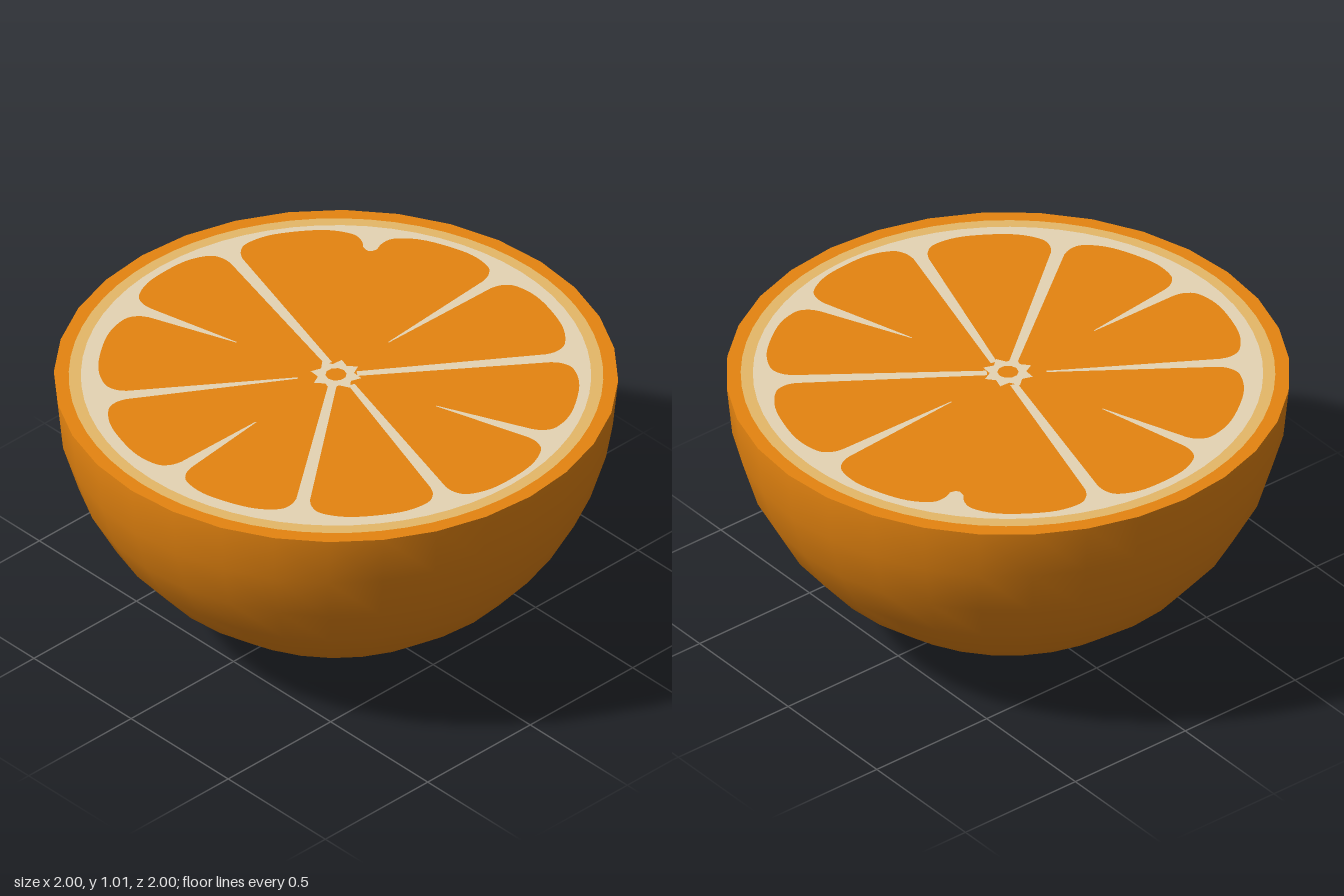
import * as THREE from 'three';

const orange = new THREE.MeshStandardMaterial({ color: 0xe58410 });
orange.name = 'orange';
const tan = new THREE.MeshStandardMaterial({ color: 0xe6b868 });
tan.name = 'tan';
const cream = new THREE.MeshStandardMaterial({ color: 0xe6d4b4 });
cream.name = 'cream';

// Membranes around the cut face: mouth angle (degrees from +x towards +z),
// tip x, tip z, tip half width, and radius of the lobe that follows.
const MEMBRANES = [
  [-107, -0.12, -0.385, 0.002, 0.87],
  [-73.7, 0.03, -0.07, 0.014, 0.875],
  [-37.5, 0.6, -0.46, 0.008, 0.87],
  [-2, 0.27, -0.015, 0.002, 0.855],
  [35.8, 0.06, 0.045, 0.014, 0.865],
  [70.4, 0.13, 0.38, 0.002, 0.88],
  [105.3, 0.0, 0.08, 0.012, 0.857],
  [142.3, -0.05, 0.035, 0.015, 0.855],
  [178, -0.4, 0.01, 0.002, 0.855],
  [214.3, -0.11, -0.08, 0.004, 0.845],
];
const MOUTH_RADIUS = 0.77;
const MOUTH_HALF = 0.025;

// Shape point for an angle and radius; shape y is model -z
const polar = (a, r) => new THREE.Vector2(Math.cos(a) * r, -Math.sin(a) * r);

function addFlat(group, name, geometry, material, y) {
  geometry.rotateX(-Math.PI / 2);
  geometry.translate(0, y, 0);
  const mesh = new THREE.Mesh(geometry, material);
  mesh.name = name;
  group.add(mesh);
}

// Outline of all juice segments: rounded lobes parted by narrow membranes
function pulpShape() {
  const points = [];
  const profile = [[0, 0.885], [0.025, 0.93], [0.1, 0.972], [0.28, 0.997], [0.5, 1],
    [0.72, 0.997], [0.9, 0.972], [0.975, 0.93], [1, 0.885]];
  MEMBRANES.forEach(([degrees, tx, tz, half, radius], i) => {
    const a = THREE.MathUtils.degToRad(degrees);
    const next = MEMBRANES[(i + 1) % MEMBRANES.length][0] + (i === MEMBRANES.length - 1 ? 360 : 0);
    const b = THREE.MathUtils.degToRad(next);

    // Membrane tip, crossed from one side to the other
    const sx = -Math.sin(a) * half, sz = Math.cos(a) * half;
    points.push(new THREE.Vector2(tx - sx, -(tz - sz)), new THREE.Vector2(tx + sx, -(tz + sz)));

    // Rounded lobe up to the next membrane
    const pad = MOUTH_HALF / MOUTH_RADIUS;
    const lobe = profile.map(([u, k]) => polar(a + pad + (b - a - 2 * pad) * u, radius * k));
    points.push(...new THREE.SplineCurve(lobe).getPoints(32));
  });
  return new THREE.Shape(points);
}

// Small star of pith in the middle
function coreShape() {
  const points = [];
  for (let i = 0; i < 16; i++) {
    points.push(polar((i / 16) * Math.PI * 2 + 0.2, i % 2 ? 0.065 : 0.092));
  }
  return new THREE.Shape(points);
}

export function createModel() {
  const group = new THREE.Group();
  group.name = 'halfOrange';

  // Rounded peel
  const bowl = new THREE.SphereGeometry(1, 32, 8, 0, Math.PI * 2, Math.PI / 2, Math.PI / 2);
  bowl.translate(0, 1, 0);
  const peel = new THREE.Mesh(bowl, orange);
  peel.name = 'peel';
  group.add(peel);

  // Cut face, layered from the rim inwards
  addFlat(group, 'peelRim', new THREE.CircleGeometry(1, 32), orange, 1);
  addFlat(group, 'innerPeel', new THREE.CircleGeometry(0.947, 64), tan, 1.0015);
  addFlat(group, 'pith', new THREE.CircleGeometry(0.904, 64), cream, 1.003);
  addFlat(group, 'pulpSegments', new THREE.ShapeGeometry(pulpShape()), orange, 1.0045);
  addFlat(group, 'core', new THREE.ShapeGeometry(coreShape()), cream, 1.006);
  addFlat(group, 'coreCentre', new THREE.CircleGeometry(0.038, 10), orange, 1.0075);

  return group;
}
